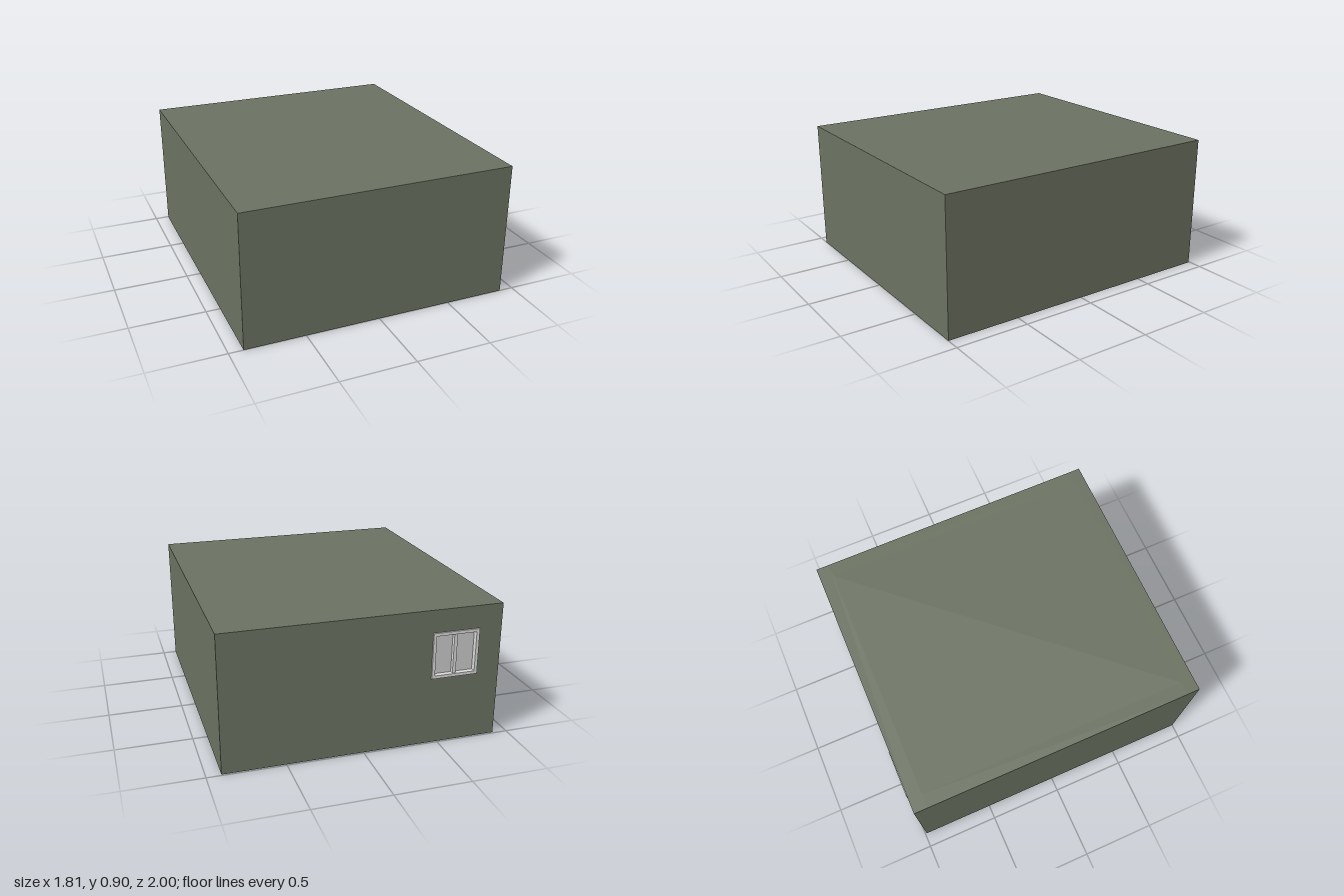
import * as THREE from 'three';

export function createModel() {
  const model = new THREE.Group();
  model.name = 'room';

  const wallPaint = new THREE.MeshStandardMaterial({ color: 0x6b7261 });
  wallPaint.name = 'olive wall paint';
  const frameWhite = new THREE.MeshStandardMaterial({ color: 0xdadada });
  frameWhite.name = 'pale frame';
  const paneGrey = new THREE.MeshStandardMaterial({ color: 0xcacaca });
  paneGrey.name = 'light grey pane';

  const HX = 0.905, H = 0.905, FRONT = 1, BACK = -0.99, T = 0.09, ROOF = 0.045;

  function add(name, geometry, material, parent = model) {
    const mesh = new THREE.Mesh(geometry, material);
    mesh.name = name;
    parent.add(mesh);
    return mesh;
  }

  // box given by its lower and upper limits on each axis
  function box(name, x0, x1, y0, y1, z0, z1, material, parent) {
    const mesh = add(name, new THREE.BoxGeometry(x1 - x0, y1 - y0, z1 - z0), material, parent);
    mesh.position.set((x0 + x1) / 2, (y0 + y1) / 2, (z0 + z1) / 2);
    return mesh;
  }

  function rect(target, x0, x1, y0, y1) {
    target.moveTo(x0, y0);
    target.lineTo(x1, y0);
    target.lineTo(x1, y1);
    target.lineTo(x0, y1);
    target.closePath();
    return target;
  }

  // upright plate with a rectangular opening, starting at depth z0
  function framed(name, outer, inner, z0, depth, material, parent) {
    const shape = rect(new THREE.Shape(), ...outer);
    shape.holes.push(rect(new THREE.Path(), ...inner));
    const geometry = new THREE.ExtrudeGeometry(shape, { depth, bevelEnabled: false });
    geometry.translate(0, 0, z0);
    return add(name, geometry, material, parent);
  }

  // window opening and its frame
  const W = { x0: -0.75, x1: -0.44, y0: 0.45, y1: 0.755 };
  const F = 0.02;
  const opening = [W.x0 + 0.005, W.x1 - 0.005, W.y0 + 0.005, W.y1 - 0.005];
  const inside = [W.x0 + F, W.x1 - F, W.y0 + F, W.y1 - F];

  // shell, open underneath
  framed('backWall', [-HX, HX, 0, H], opening, BACK, T, wallPaint);
  box('frontWall', -HX, HX, 0, H, FRONT - T, FRONT, wallPaint);
  for (const [name, side] of [['leftWall', 1], ['rightWall', -1]]) {
    const wall = box(name, HX - T, HX, 0, H, BACK + T, FRONT - T, wallPaint);
    wall.position.x *= side;
  }
  box('roof', -HX + T, HX - T, H - ROOF, H, BACK + T, FRONT - T, wallPaint);

  // window with two recessed panes
  const win = new THREE.Group();
  win.name = 'window';
  model.add(win);
  framed('windowFrame', [W.x0, W.x1, W.y0, W.y1], inside, -1, T + 0.01, frameWhite, win);
  const cx = (W.x0 + W.x1) / 2, bar = 0.011;
  box('windowMullion', cx - bar, cx + bar, inside[2], inside[3], -0.99, -0.93, frameWhite, win);
  box('rightPane', inside[0], cx - bar, inside[2], inside[3], -0.965, -0.957, paneGrey, win);
  box('leftPane', cx + bar, inside[1], inside[2], inside[3], -0.965, -0.957, paneGrey, win);

  return model;
}
